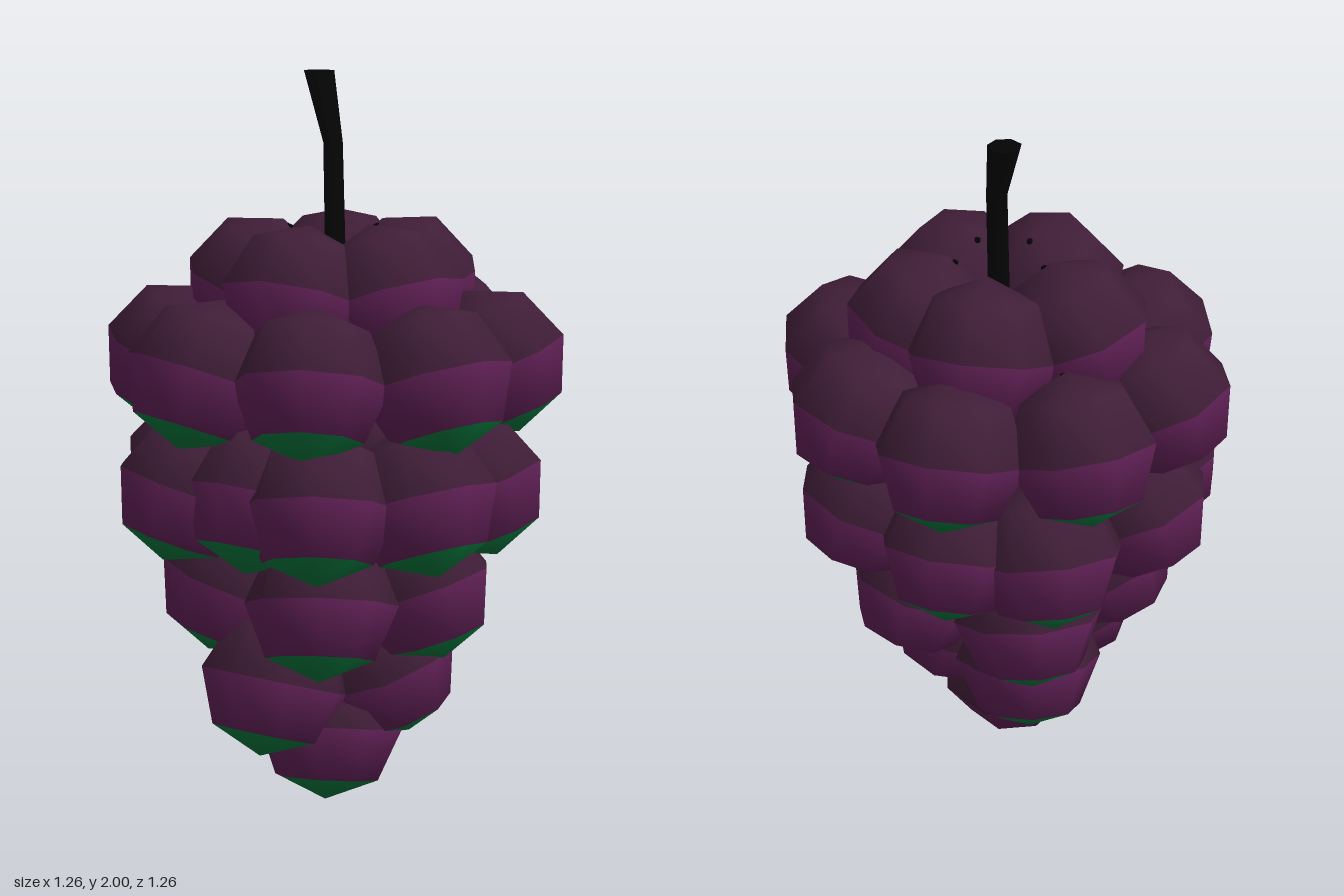
import * as THREE from 'three';

const flat = (name, color) => {
  const m = new THREE.MeshStandardMaterial({ color });
  m.name = name;
  return m;
};

export function createModel() {
  const model = new THREE.Group();
  model.name = 'grapeBunch';
  const skins = [flat('dusky purple', 0x401e38), flat('bright purple', 0x5d1f53), flat('leaf green', 0x067139)];
  const stemMaterial = flat('stem black', 0x040404);

  // One berry: dusky upper half, one bright row, green cap at the bottom
  const berryGeometry = new THREE.SphereGeometry(0.207, 8, 4);
  berryGeometry.addGroup(0, 72, 0);
  berryGeometry.addGroup(72, 48, 1);
  berryGeometry.addGroup(120, 24, 2);

  // Tiny stalk end that just breaks through the inner top of each berry
  const stalkGeometry = new THREE.CylinderGeometry(0.009, 0.009, 0.05, 6);
  stalkGeometry.translate(-0.025, 0.175, 0);

  // Tiers from top to bottom; each berry is an angle from +x towards +z, or [angle, own radius]
  const tiers = [
    { y: 1.415, radius: 0.22, z: -0.01, tilt: 0.38, berries: [37, 328, 262, 183, 106] },
    { y: 1.23, radius: 0.437, z: 0, tilt: 0.38, berries: [86, 41, 356, [311, 0.42], 266, 221, 176, 131] },
    {
      y: 0.905, radius: 0.395, z: 0.02, tilt: 0.38,
      berries: [[83, 0.405], 42, 5, 317, 268, [233, 0.42], 183, [145, 0.42], [112, 0.34]],
    },
    { y: 0.62, radius: 0.27, z: 0.04, tilt: 0.36, berries: [[83, 0.295], 13, [307, 0.28], [238, 0.31], 159] },
    { y: 0.375, radius: 0.19, z: 0.08, x: -0.035, tilt: 0.36, berries: [348, 113, 245] },
    { y: 0.2, radius: 0.02, z: 0.06, x: 0.005, tilt: 0.28, berries: [90] },
  ];
  tiers.forEach((tier, t) => {
    const group = new THREE.Group();
    group.name = `berryTier${t + 1}`;
    group.position.set(tier.x ?? 0, tier.y, tier.z);
    tier.berries.forEach((entry) => {
      const [degrees, radius = tier.radius] = [entry].flat();
      const a = THREE.MathUtils.degToRad(degrees);
      const berry = new THREE.Mesh(berryGeometry, skins);
      berry.name = 'berry';
      berry.position.set(radius * Math.cos(a), 0, radius * Math.sin(a));
      berry.rotation.set(0, -a, tier.tilt); // green cap leans outwards
      const stalk = new THREE.Mesh(stalkGeometry, stemMaterial);
      stalk.name = 'berryStalk';
      berry.add(stalk);
      group.add(berry);
    });
    model.add(group);
  });

  // Bent stem: rings of a cylinder moved onto a short path, widening upwards
  const path = [
    { x: -0.08, y: 2.0, z: -0.187, r: 0.044 },
    { x: -0.02, y: 1.81, z: -0.09, r: 0.028 },
    { x: 0.005, y: 1.4, z: -0.01, r: 0.03 },
  ];
  const stemGeometry = new THREE.CylinderGeometry(1, 1, 2, 7, 2);
  const p = stemGeometry.attributes.position;
  for (let i = 0; i < p.count; i++) {
    const s = path[Math.round(1 - p.getY(i))];
    p.setXYZ(i, s.x + p.getX(i) * s.r, s.y, s.z + p.getZ(i) * s.r);
  }
  stemGeometry.computeVertexNormals();
  const stem = new THREE.Mesh(stemGeometry, stemMaterial);
  stem.name = 'stem';
  model.add(stem);

  return model;
}
